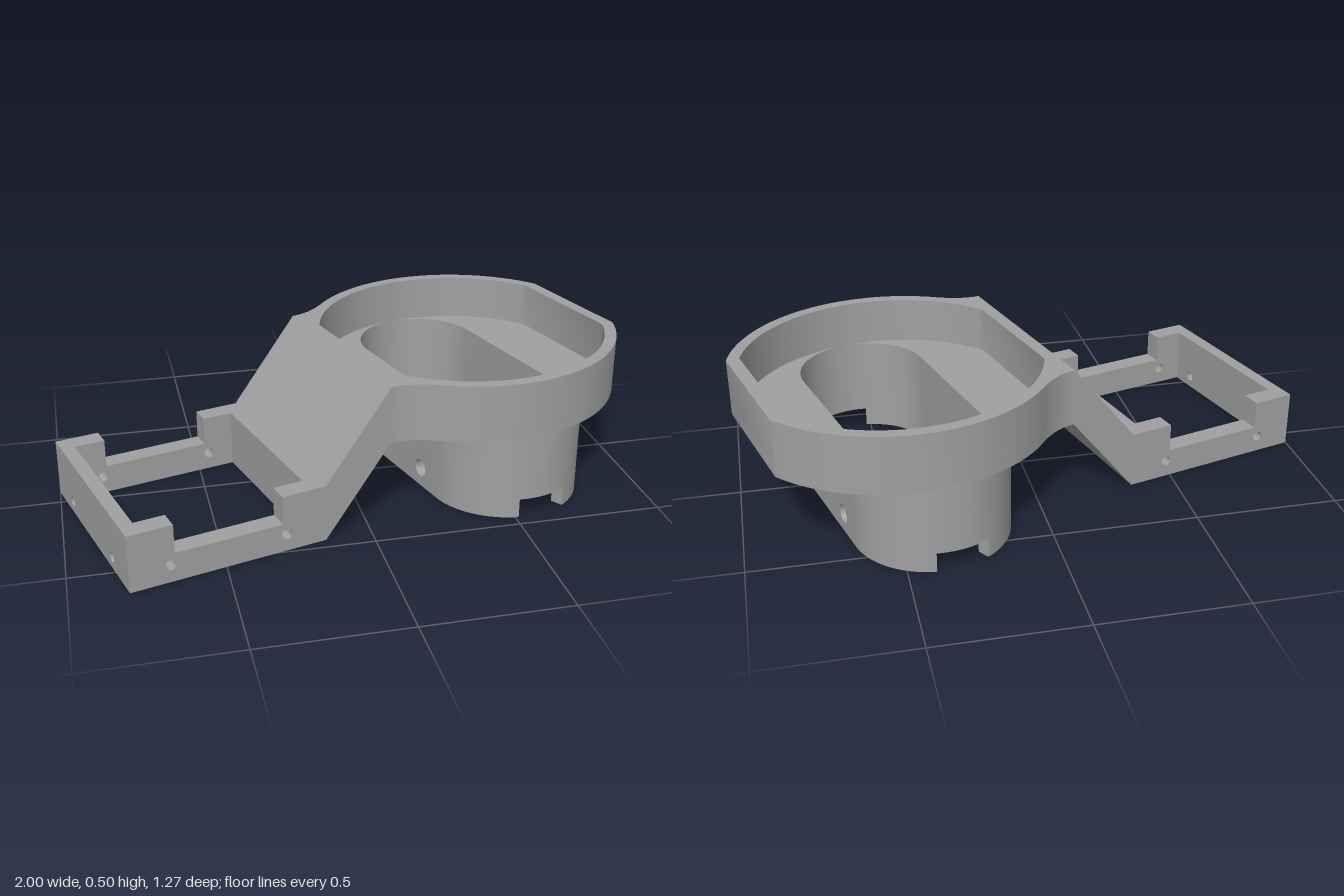
import * as THREE from 'three';
import { toCreasedNormals } from 'three/addons/utils/BufferGeometryUtils.js';

const TILT = Math.PI / 12;   // whole bracket is turned about y
const RING_X = 0.466;        // centre of ring and tube along the bracket
const HALF = 0.3625;         // half width of frame and ramp
const gray = new THREE.MeshStandardMaterial({ color: 0xa0a0a0 });
gray.name = 'gray';

const polygon = (pts) => new THREE.Shape(pts.map(([x, y]) => new THREE.Vector2(x, y)));
const rect = (x0, y0, x1, y1) => polygon([[x0, y0], [x1, y0], [x1, y1], [x0, y1]]);

function drill(shape, xs, y, r) {
  for (const x of xs) shape.holes.push(new THREE.Path().absarc(x, y, r, 0, Math.PI * 2, true));
  return shape;
}

function extrude(shape, depth) {
  return new THREE.ExtrudeGeometry(shape, { depth, bevelEnabled: false, curveSegments: 40 });
}

// Plan shape raised from y0 to y1
const upright = (shape, y0, y1) => extrude(shape, y1 - y0).rotateX(-Math.PI / 2).translate(0, y0, 0);
// Side profile in (x, y), from z0 to z1
const across = (shape, z0, z1) => extrude(shape, z1 - z0).translate(0, 0, z0);
// End profile in (z, y), from x0 to x1
const along = (shape, x0, x1) => extrude(shape, x1 - x0).rotateY(-Math.PI / 2).translate(x1, 0, 0);

function add(parent, name, geometry) {
  const mesh = new THREE.Mesh(toCreasedNormals(geometry, 0.5), gray);
  mesh.name = name;
  parent.add(mesh);
  return mesh;
}

// Circle of radius r cut by flats at x = +-flat
function flattedCircle(r, flat) {
  const a = Math.acos(flat / r);
  const p = new THREE.Path();
  p.absarc(0, 0, r, a, Math.PI - a, false);
  p.absarc(0, 0, r, Math.PI + a, Math.PI * 2 - a, false);
  p.closePath();
  return p;
}

// Ring outline with a filleted neck that meets the ramp
function ringOutline() {
  const r = 0.55, flat = 0.496, joinX = -0.346, joinY = 0.427;
  const a = Math.acos(flat / r), b = Math.atan2(joinY, joinX);
  const s = new THREE.Shape();
  s.moveTo(-flat, -HALF);
  s.quadraticCurveTo(-0.426, -HALF, joinX, -joinY);
  s.absarc(0, 0, r, -b, -a, false);
  s.absarc(0, 0, r, a, b, false);
  s.quadraticCurveTo(-0.426, HALF, -flat, HALF);
  s.closePath();
  return s;
}

function slot(r, d) {
  const p = new THREE.Path();
  p.absarc(0, d, r, 0, Math.PI, false);
  p.absarc(0, -d, r, Math.PI, Math.PI * 2, false);
  p.closePath();
  return p;
}

function sector(r0, r1, a0, a1) {
  const s = new THREE.Shape();
  s.absarc(0, 0, r1, a0, a1, false);
  s.absarc(0, 0, r0, a1, a0, true);
  s.closePath();
  return s;
}

export function createModel() {
  const model = new THREE.Group();
  model.name = 'bracket';
  model.rotation.y = TILT;
  model.position.set(0.036 * Math.sin(TILT), 0, 0.036 * Math.cos(TILT));

  // Rectangular frame: notched side walls, end wall
  const frame = new THREE.Group();
  frame.name = 'frame';
  model.add(frame);
  const sideWall = drill(polygon([
    [-0.9, 0], [-0.32, 0], [-0.32, 0.2], [-0.425, 0.2],
    [-0.425, 0.1], [-0.795, 0.1], [-0.795, 0.2], [-0.9, 0.2],
  ]), [-0.81, -0.412], 0.06, 0.018);
  add(frame, 'frontWall', across(sideWall, HALF - 0.07, HALF));
  add(frame, 'backWall', across(sideWall, -HALF, 0.07 - HALF));
  const endWall = drill(rect(-HALF, 0, HALF, 0.2), [-0.203, 0.203], 0.042, 0.018);
  add(frame, 'endWall', along(endWall, -0.947, -0.9));

  // Ramp from the frame up to the ring
  add(model, 'ramp', across(polygon([
    [-0.32, 0], [-0.27, 0], [-0.03, 0.3], [-0.03, 0.5], [-0.27, 0.2], [-0.32, 0.2],
  ]), -HALF, HALF));

  // Ring cup: slotted floor and raised rim
  const cup = new THREE.Group();
  cup.name = 'cup';
  cup.position.x = RING_X;
  model.add(cup);
  const R = 0.266, r = 0.222, D = 0.286, FLOOR = 0.34;
  const floor = ringOutline();
  floor.holes.push(slot(r, D));
  add(cup, 'cupFloor', upright(floor, 0.3, FLOOR));
  const rim = ringOutline();
  rim.holes.push(flattedCircle(0.509, 0.451));
  add(cup, 'cupRim', upright(rim, FLOOR, 0.5));

  // Oblong tube below: drilled flat sides, round ends with a notch
  const tube = new THREE.Group();
  tube.name = 'tube';
  cup.add(tube);
  const panel = drill(rect(-D, 0, D, 0.3), [-0.18, 0.18], 0.068, 0.032);
  add(tube, 'leftPanel', along(panel, r, R));
  add(tube, 'rightPanel', along(panel, -R, -r));
  const notch = 0.345, quarter = Math.PI / 2;
  for (const side of [0, 1]) {
    const end = new THREE.Group();
    end.name = side ? 'frontEnd' : 'backEnd';
    end.rotation.y = side * Math.PI;
    tube.add(end);
    add(end, 'endWall', upright(sector(r, R, 0, Math.PI), 0.068, 0.3)).position.z = -D;
    add(end, 'endFoot', upright(sector(r, R, 0, quarter - notch), 0, 0.068)).position.z = -D;
    add(end, 'endFoot', upright(sector(r, R, quarter + notch, Math.PI), 0, 0.068)).position.z = -D;
  }

  const root = new THREE.Group();
  root.name = 'model';
  root.add(model);
  return root;
}
